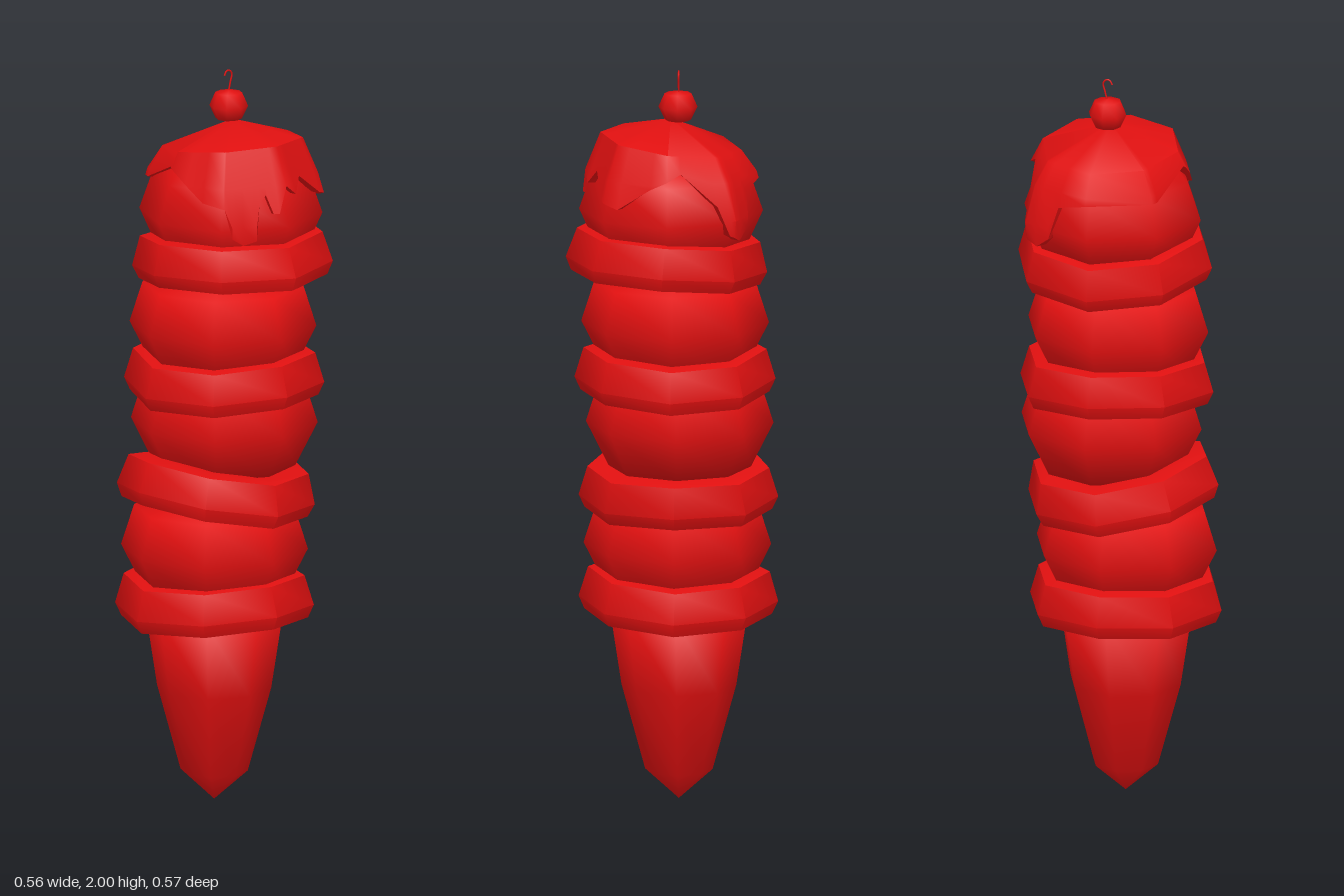
import * as THREE from 'three';
import { toCreasedNormals } from 'three/addons/utils/BufferGeometryUtils.js';

const SIDES = 8;
const red = new THREE.MeshStandardMaterial({ color: 0xe01010, side: THREE.DoubleSide });

function addMesh(group, name, geometry, x = 0, y = 0, z = 0) {
  const mesh = new THREE.Mesh(geometry, red);
  mesh.name = name;
  mesh.position.set(x, y, z);
  group.add(mesh);
  return mesh;
}

const lathe = (points) =>
  new THREE.LatheGeometry(points.map(([r, y]) => new THREE.Vector2(r, y)), SIDES);

// Melted collar: an octagonal ring whose corners rise and fall a little
function collarGeometry(radius, wave, phase) {
  const profile = [[0.55, -0.05], [0.94, -0.06], [1, -0.025], [0.91, 0.055], [0.75, 0.065], [0.55, 0.06]];
  const geo = lathe(profile.map(([r, y]) => [r * radius, y]));
  const p = geo.attributes.position;
  for (let i = 0; i < p.count; i++) {
    const a = Math.atan2(p.getZ(i), p.getX(i));
    p.setY(i, p.getY(i) + wave * Math.cos(2 * a + phase));
  }
  return toCreasedNormals(geo, 0.8);
}

// Height of the sauce edge by angle in degrees, from +x towards +z
const sauceEdge = [
  [-180, 1.71], [-158, 1.69], [-152, 1.6], [-142, 1.57], [-132, 1.59], [-125, 1.67],
  [-100, 1.76], [-78, 1.72], [-55, 1.66], [-40, 1.68], [-20, 1.74], [-10, 1.7], [0, 1.73], [7, 1.66],
  [11, 1.66], [15, 1.71], [20, 1.69], [23, 1.59], [32, 1.58], [39, 1.6], [44, 1.68],
  [60, 1.69], [75, 1.73], [92, 1.77], [130, 1.71], [180, 1.71],
];

function edgeHeight(deg) {
  const i = Math.max(1, sauceEdge.findIndex(([a]) => a >= deg));
  const [a0, y0] = sauceEdge[i - 1];
  const [a1, y1] = sauceEdge[i];
  return y0 + ((y1 - y0) * (deg - a0)) / (a1 - a0);
}

// Sauce: an octagonal dome cut off along the dripping edge, with a thick rim
function sauceGeometry() {
  const profile = [[0, 1.87], [0.188, 1.808], [0.228, 1.73], [0.257, 1.63], [0.25, 1.56]];
  const radiusAt = (y) => {
    const i = Math.max(1, profile.findIndex(([, py]) => py <= y));
    const [r0, y0] = profile[i - 1];
    const [r1, y1] = profile[i];
    return r0 + ((r1 - r0) * (y - y0)) / (y1 - y0);
  };
  const angles = sauceEdge.map(([a]) => a);
  for (let a = -135; a < 180; a += 45) angles.push(a);
  const ordered = [...new Set(angles)].sort((a, b) => a - b);
  const rows = profile.length + 1;
  const positions = [];
  const index = [];
  ordered.forEach((deg, i) => {
    const a = THREE.MathUtils.degToRad(deg);
    const local = THREE.MathUtils.degToRad(((deg + 360) % 45) - 22.5);
    const flat = Math.cos(Math.PI / SIDES) / Math.cos(local);
    for (let j = 0; j < rows; j++) {
      const last = j === rows - 1;
      const y = last ? edgeHeight(deg) : Math.max(profile[j][1], edgeHeight(deg));
      const r = (radiusAt(y) - (last ? 0.03 : 0)) * flat;
      const x = r * Math.cos(a);
      positions.push(x, y + (j === 1 ? 0.12 * x : 0), r * Math.sin(a));
      if (i < ordered.length - 1 && j < rows - 1) {
        const k = i * rows + j;
        index.push(k, k + rows, k + 1, k + rows, k + rows + 1, k + 1);
      }
    }
  });
  const geo = new THREE.BufferGeometry();
  geo.setAttribute('position', new THREE.Float32BufferAttribute(positions, 3));
  geo.setIndex(index);
  return toCreasedNormals(geo, 0.8);
}

export function createModel() {
  const group = new THREE.Group();
  group.name = 'iceCreamCone';

  // Pointed cone
  addMesh(group, 'cone', lathe([[0, 0], [0.09, 0.08], [0.153, 0.31], [0.185, 0.52], [0, 0.54]]), -0.016, 0.005, 0.02);

  // Collars: x, y, z, radius, tilt about x, tilt about z, wave, phase
  [
    [-0.015, 0.567, 0.02, 0.266, 0, 0.02, 0.008, 0],
    [-0.015, 0.868, 0.012, 0.266, -0.12, 0, 0.012, Math.PI],
    [-0.007, 1.176, -0.007, 0.268, 0, 0, 0.008, 0.5],
    [0.013, 1.502, -0.018, 0.269, 0, 0.07, 0.008, Math.PI],
  ].forEach(([x, y, z, r, tiltX, tiltZ, wave, phase], i) => {
    const collar = addMesh(group, `collar${i + 1}`, collarGeometry(r, wave, phase), x, y, z);
    collar.rotation.set(tiltX, 0, tiltZ);
  });

  // Stacked scoops
  const scoop = lathe([[0, -0.16], [0.19, -0.12], [0.25, 0], [0.215, 0.11], [0, 0.17]]);
  [
    [-0.012, 0.7, 0.022],
    [-0.02, 1.04, -0.018],
    [-0.007, 1.31, -0.003],
  ].forEach(([x, y, z], i) => addMesh(group, `scoop${i + 1}`, scoop, x, y, z));

  // Top scoop under the sauce
  const topScoop = lathe([[0, -0.16], [0.2, -0.1], [0.245, 0], [0.21, 0.1], [0.165, 0.155], [0, 0.22]]);
  addMesh(group, 'topScoop', topScoop, 0.003, 1.62, -0.022);
  addMesh(group, 'sauce', sauceGeometry(), 0.003, 0, -0.028);

  // Cherry with a hooked stem
  addMesh(group, 'cherry', lathe([[0, -0.045], [0.035, -0.035], [0.052, 0], [0.036, 0.036], [0, 0.043]]), -0.016, 1.902, -0.03);
  const stemPath = new THREE.CatmullRomCurve3(
    [[1.935, -0.03], [1.965, -0.037], [1.987, -0.042], [1.997, -0.034], [1.997, -0.024], [1.985, -0.017]]
      .map(([y, z]) => new THREE.Vector3(-0.018, y, z)));
  addMesh(group, 'cherryStem', new THREE.TubeGeometry(stemPath, 16, 0.0025, 5));

  return group;
}
